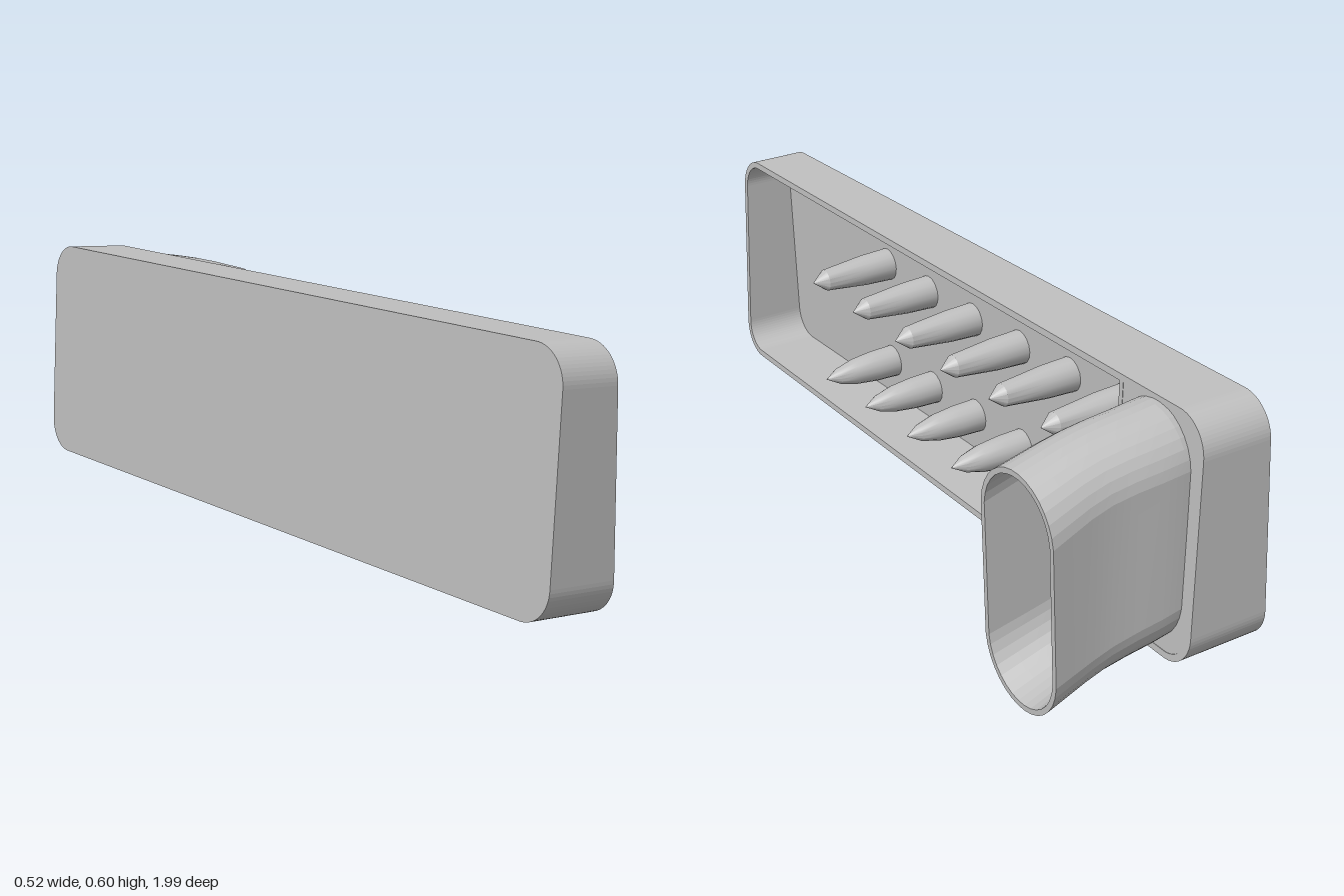
import * as THREE from 'three';
import { toCreasedNormals } from 'three/addons/utils/BufferGeometryUtils.js';

const L = 1.966, H = 0.54, R = 0.08, WALL = 0.015, FLOOR = 0.015;

// Depth of the tray rim above its back plate: the rim plane is slightly slanted.
const rimDepth = (y, z) => 0.1635 - 0.065 * y - 0.011 * z;

// Rectangle with its own radius at the front (+z) and rear (-z) corners; shape x = -z.
function panel(z0, z1, y0, y1, rFront, rRear, target = new THREE.Shape()) {
  const a = -z1, b = -z0;
  target.moveTo(a + rFront, y0);
  target.lineTo(b - rRear, y0);
  if (rRear) target.absarc(b - rRear, y0 + rRear, rRear, -Math.PI / 2, 0);
  target.lineTo(b, y1 - rRear);
  if (rRear) target.absarc(b - rRear, y1 - rRear, rRear, 0, Math.PI / 2);
  target.lineTo(a + rFront, y1);
  if (rFront) target.absarc(a + rFront, y1 - rFront, rFront, Math.PI / 2, Math.PI);
  target.lineTo(a, y0 + rFront);
  if (rFront) target.absarc(a + rFront, y0 + rFront, rFront, Math.PI, Math.PI * 1.5);
  return target;
}

// Extrude along x, then place both ends by a rule.
function slab(shape, bottom, top) {
  const g = new THREE.ExtrudeGeometry(shape, { depth: 1, bevelEnabled: false, curveSegments: 8 });
  g.rotateY(Math.PI / 2);
  const p = g.attributes.position;
  for (let i = 0; i < p.count; i++) {
    const y = p.getY(i), z = p.getZ(i);
    p.setX(i, p.getX(i) > 0.5 ? top(y, z) : bottom(y, z));
  }
  g.computeVertexNormals();
  return g;
}

// Spout sections: x, y, z, half width, half height
const SECTIONS = [
  [0.012, 0.03, -0.805, 0.118, 0.215],
  [0.17, 0.01, -0.833, 0.115, 0.25],
  [0.342, -0.014, -0.832, 0.113, 0.255],
  [0.488, -0.05, -0.839, 0.123, 0.26],
];
const centres = new THREE.CatmullRomCurve3(SECTIONS.map(s => new THREE.Vector3(s[0], s[1], s[2])));
const sizes = new THREE.CatmullRomCurve3(SECTIONS.map(s => new THREE.Vector3(s[3], s[4], 0)));

// Stadium ring at position t, shrunk by inset
function ring(t, inset, n = 32) {
  const c = centres.getPoint(t), s = sizes.getPoint(t), pts = [];
  const r = s.x - inset, straight = s.y - s.x;
  for (let k = 0; k < n; k++) {
    const a = (k + 0.5) / n * Math.PI * 2;
    const y = Math.cos(a) * r;
    pts.push(c.x, c.y + y + Math.sign(y) * straight, c.z + Math.sin(a) * r);
  }
  return pts;
}

function spoutGeometry() {
  const n = 32, steps = 9, pos = [], idx = [];
  for (let i = 0; i <= steps; i++) pos.push(...ring(i / steps, 0));
  for (let i = steps; i >= 0; i--) pos.push(...ring(i / steps, 0.012));
  const rings = 2 * (steps + 1);
  for (let i = 0; i < rings - 1; i++) {
    for (let k = 0; k < n; k++) {
      const a = i * n + k, b = i * n + (k + 1) % n;
      idx.push(a, b, a + n, b, b + n, a + n);
    }
  }
  const g = new THREE.BufferGeometry();
  g.setAttribute('position', new THREE.Float32BufferAttribute(pos, 3));
  g.setIndex(idx);
  return toCreasedNormals(g, 0.15);
}

function pegGeometry(profile) {
  const g = new THREE.LatheGeometry(profile.map(p => new THREE.Vector2(...p)), 16);
  g.rotateZ(-Math.PI / 2);
  return toCreasedNormals(g, 0.45);
}

export function createModel() {
  const model = new THREE.Group();
  model.name = 'trayWithSpout';
  const grey = new THREE.MeshStandardMaterial({ color: 0xbfbfbf });
  grey.name = 'plain grey';
  const add = (name, geometry) => {
    const mesh = new THREE.Mesh(geometry, grey);
    mesh.name = name;
    model.add(mesh);
    return mesh;
  };
  const z0 = -L / 2, z1 = L / 2, y0 = -H / 2, y1 = H / 2;

  // Back plate and surrounding wall
  add('backPlate', slab(panel(z0, z1, y0, y1, R, R), () => 0, () => FLOOR));
  const wall = panel(z0, z1, y0, y1, R, R);
  wall.holes.push(panel(z0 + WALL, z1 - WALL, y0 + WALL, y1 - WALL, R - WALL, R - WALL, new THREE.Path()));
  add('sideWall', slab(wall, () => FLOOR, rimDepth));

  // Partition and the cover closing the rear compartment around the spout
  const divide = -0.71;
  add('partition', slab(panel(divide - 0.012, divide, y0 + WALL, y1 - WALL, 0, 0), () => FLOOR, rimDepth));
  const cover = panel(z0 + WALL, divide, y0 + WALL, y1 - WALL, 0, R - WALL);
  const hole = new THREE.Path();
  const cx = 0.833, cy = 0.01, r = 0.108, s = 0.135;
  hole.moveTo(cx + r, cy - s);
  hole.lineTo(cx + r, cy + s);
  hole.absarc(cx, cy + s, r, 0, Math.PI);
  hole.lineTo(cx - r, cy - s);
  hole.absarc(cx, cy - s, r, Math.PI, Math.PI * 2);
  cover.holes.push(hole);
  add('rearCover', slab(cover, (y, z) => rimDepth(y, z) - 0.015, (y, z) => rimDepth(y, z) - 0.001));

  // Curved hollow spout
  add('spout', spoutGeometry());

  // Two rows of pegs
  const blunt = pegGeometry([[0.04, 0], [0.037, 0.08], [0.026, 0.188], [0, 0.222]]);
  const pointed = pegGeometry([[0.04, 0], [0.038, 0.07], [0.032, 0.125], [0.02, 0.17], [0, 0.205]]);
  for (let i = 0; i < 6; i++) {
    const z = 0.45 - 0.197 * i;
    const bow = 0.0025 * (i - 2.5) ** 2;
    add('upperPeg', blunt).position.set(0.005, 0.086 + bow, z);
    add('lowerPeg', pointed).position.set(0.005, -0.162, z);
  }

  // Lean the whole piece: long axis first, then the upright axis
  const u = new THREE.Vector3(0.1015, -0.028, 0.9945).normalize();
  const v = new THREE.Vector3(0.035, 1, 0.0246);
  v.addScaledVector(u, -v.dot(u)).normalize();
  const w = new THREE.Vector3().crossVectors(v, u);
  model.quaternion.setFromRotationMatrix(new THREE.Matrix4().makeBasis(w, v, u));
  model.position.set(-0.155, 0.307, 0.01);

  const root = new THREE.Group();
  root.name = 'model';
  root.add(model);
  return root;
}
